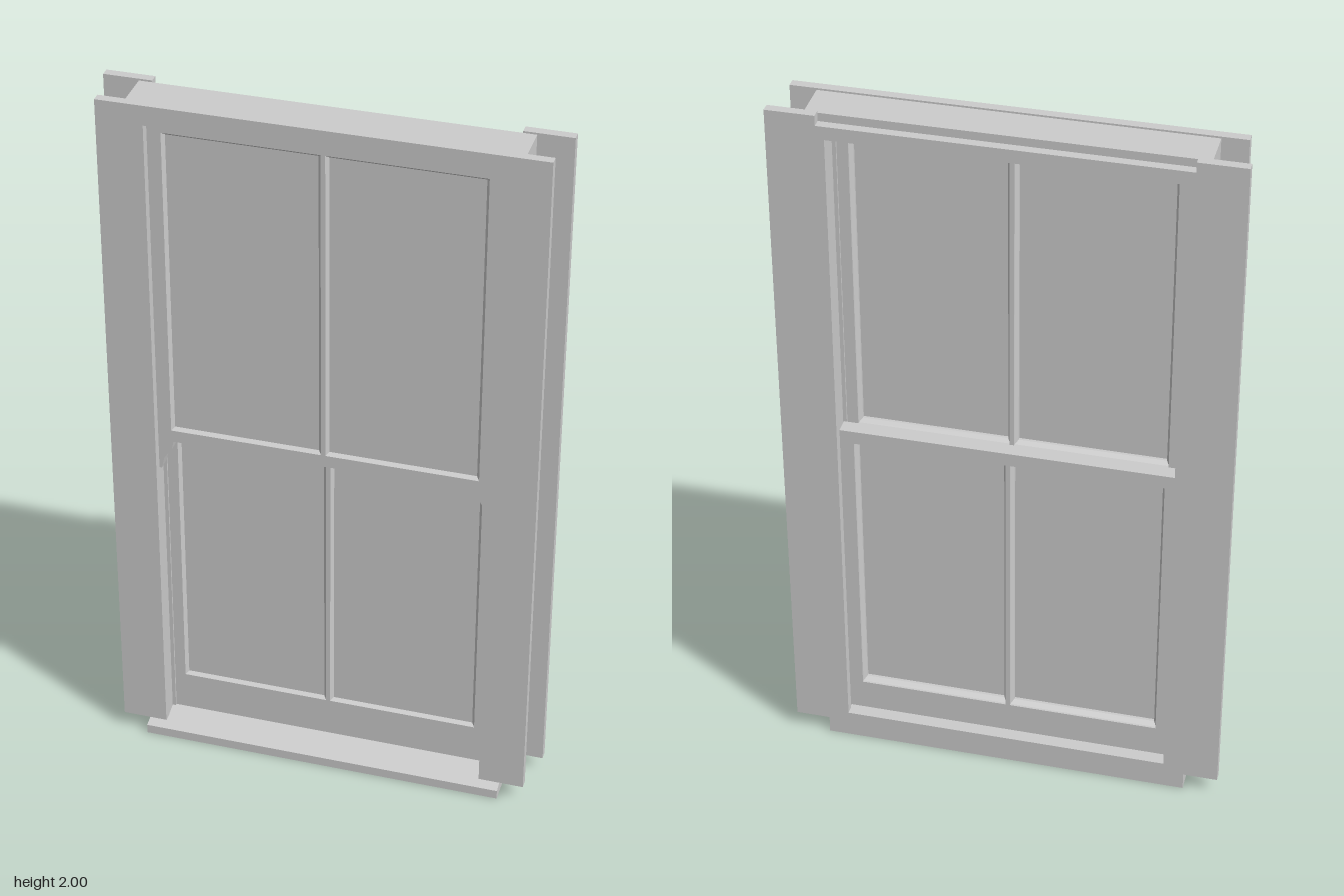
import * as THREE from 'three';

const mat = new THREE.MeshStandardMaterial({ color: 0xcccccc, flatShading: true, side: THREE.DoubleSide });

function add(parent, name, geometry) {
  const mesh = new THREE.Mesh(geometry, mat);
  mesh.name = name;
  parent.add(mesh);
  return mesh;
}

// Box given by its limits on each axis
function box(parent, name, x0, x1, y0, y1, z0, z1) {
  const mesh = add(parent, name, new THREE.BoxGeometry(x1 - x0, y1 - y0, z1 - z0));
  mesh.position.set((x0 + x1) / 2, (y0 + y1) / 2, (z0 + z1) / 2);
}

function polygon(points) {
  return new THREE.Shape(points.map(([x, y]) => new THREE.Vector2(x, y)));
}

const rect = ([x0, x1, y0, y1]) => [[x0, y0], [x1, y0], [x1, y1], [x0, y1]];

// Flat board with optional rectangular openings
function board(parent, name, outline, holes, z0, z1) {
  const shape = polygon(outline);
  holes.forEach(h => shape.holes.push(polygon(rect(h))));
  const geo = new THREE.ExtrudeGeometry(shape, { depth: z1 - z0, bevelEnabled: false });
  add(parent, name, geo).position.z = z0;
}

// Mitred moulding around a pane: rectangles of varying inset, joined in depth order
function moulding(parent, pane, profile) {
  const [x0, x1, y0, y1] = pane;
  const loops = profile.map(([inset, z]) =>
    rect([x0 + inset, x1 - inset, y0 + inset, y1 - inset]).map(([x, y]) => [x, y, z]));
  const pos = [];
  for (let i = 0; i < loops.length - 1; i++) {
    for (let j = 0; j < 4; j++) {
      const k = (j + 1) % 4;
      const a = loops[i][j], b = loops[i][k], c = loops[i + 1][k], d = loops[i + 1][j];
      pos.push(...a, ...c, ...b, ...a, ...d, ...c);
    }
  }
  const geo = new THREE.BufferGeometry();
  geo.setAttribute('position', new THREE.Float32BufferAttribute(pos, 3));
  geo.computeVertexNormals();
  add(parent, 'paneMoulding', geo);
}

// Two-pane sash with a central glazing bar
function sash(name, outline, y0, y1, zBack, zFront) {
  const group = new THREE.Group();
  group.name = name;
  const panes = [[-0.42, -0.006, y0, y1], [0.006, 0.42, y0, y1]];
  const glassZ = zFront - 0.01;
  board(group, 'sashFrame', outline, panes, zBack, zFront);
  for (const pane of panes) {
    moulding(group, pane, [[0, zFront], [0.008, glassZ], [0.008, glassZ - 0.012], [0, zBack + 0.006]]);
    box(group, 'glass', ...pane, glassZ - 0.004, glassZ);
  }
  return group;
}

export function createModel() {
  const model = new THREE.Group();
  model.name = 'sashWindow';

  // Sill with a sloping, weathered front
  const sill = new THREE.ExtrudeGeometry(
    polygon([[-0.085, 0], [0.085, 0], [0.085, 0.027], [0, 0.05], [-0.085, 0.05]]),
    { depth: 1.02, bevelEnabled: false });
  sill.rotateY(-Math.PI / 2);
  add(model, 'sill', sill).position.x = 0.51;
  box(model, 'sillBead', -0.455, 0.455, 0.05, 0.078, -0.085, -0.047);

  // Box frame: jambs, head and the beads that guide the sashes
  for (const s of [-1, 1]) {
    const side = (name, a, b, ...rest) => box(model, name, Math.min(s * a, s * b), Math.max(s * a, s * b), ...rest);
    side('jamb', 0.46, 0.51, 0.04, 1.995, -0.06, 0.05);
    side('partingBead', 0.45, 0.462, 0.05, 1.95, -0.001, 0.005);
    side('backCasing', 0.475, 0.605, 0.05, 2, -0.085, -0.06);
    side('backCasingEdge', 0.453, 0.475, 0.05, 1.972, -0.085, -0.06);
  }
  box(model, 'head', -0.46, 0.46, 1.95, 1.995, -0.06, 0.05);
  box(model, 'headPartingBead', -0.46, 0.46, 1.938, 1.95, -0.001, 0.005);
  box(model, 'backHeadCasing', -0.475, 0.475, 1.935, 1.972, -0.085, -0.06);

  // Front casing: one face around three sides of the opening
  board(model, 'frontCasing', [
    [-0.58, 0.05], [-0.455, 0.05], [-0.455, 1.945], [0.455, 1.945],
    [0.455, 0.05], [0.58, 0.05], [0.58, 2], [-0.58, 2],
  ], [], 0.05, 0.075);

  // Upper sash outside, with shaped horns below its stiles
  const horn = [[0.415, 0.99], [0.42, 0.965], [0.442, 0.935], [0.45, 0.9], [0.458, 0.9]];
  const upperOutline = [
    ...horn, [0.458, 1.95], [-0.458, 1.95],
    ...horn.map(([x, y]) => [-x, y]).reverse(),
  ];
  model.add(sash('upperSash', upperOutline, 1.025, 1.915, 0.005, 0.045));

  // Lower sash inside, with a deep bottom rail
  model.add(sash('lowerSash', rect([-0.458, 0.458, 0.045, 1.03]), 0.165, 0.992, -0.043, -0.001));

  return model;
}
